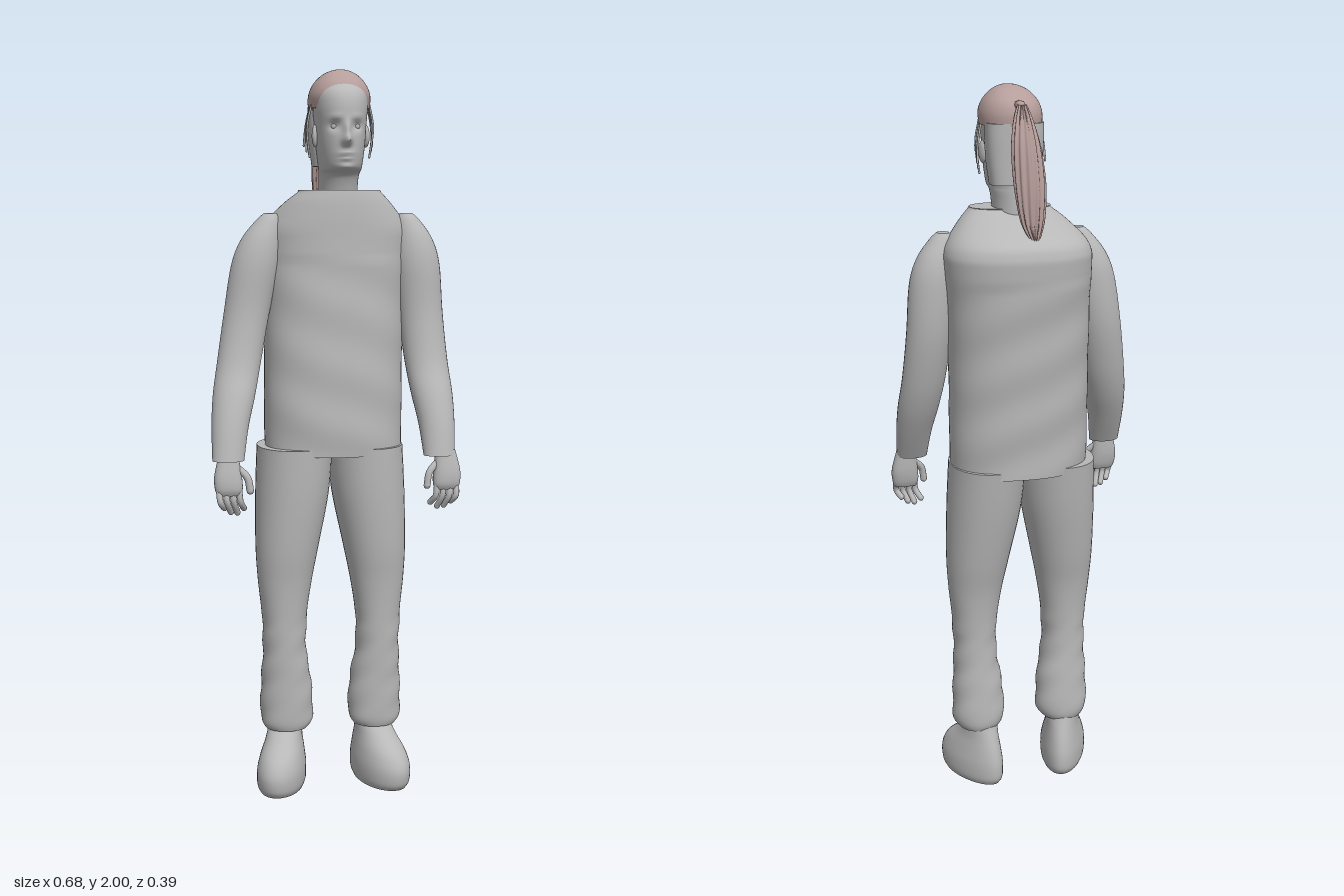
import * as THREE from 'three';

const skinGrey = new THREE.MeshStandardMaterial({ color: 0xb8b8b8 });
skinGrey.name = 'plain grey';
const hairBrown = new THREE.MeshStandardMaterial({ color: 0xb59d9a });
hairBrown.name = 'dusty rose hair';

// Catmull-Rom blend of four rings
const blend = (a, b, c, d, t) => b.map((_, k) => 0.5 * (2 * b[k] + (c[k] - a[k]) * t
  + (2 * a[k] - 5 * b[k] + 4 * c[k] - d[k]) * t * t
  + (3 * b[k] - a[k] - 3 * c[k] + d[k]) * t * t * t));

// Closed loft through rings [y, xMin, xMax, zMin, zMax], listed from low to high.
// power 2 gives ellipses, more gives squarer sections; warp(p, angle) moves each point.
function loft(rings, { segs = 40, steps = 5, power = 2, warp = null } = {}) {
  const rows = [];
  const at = (i) => rings[Math.min(Math.max(i, 0), rings.length - 1)];
  for (let i = 0; i < rings.length - 1; i++)
    for (let s = 0; s < steps; s++)
      rows.push(blend(at(i - 1), at(i), at(i + 1), at(i + 2), s / steps));
  rows.push(at(rings.length - 1));
  const pos = [], index = [], p = new THREE.Vector3();
  const round = (v) => Math.sign(v) * Math.abs(v) ** (2 / power);
  const addRing = ([y, x0, x1, z0, z1]) => {
    for (let j = 0; j < segs; j++) {
      const a = (j / segs) * Math.PI * 2;
      p.set((x0 + x1) / 2 + round(Math.cos(a)) * (x1 - x0) / 2, y,
        (z0 + z1) / 2 + round(Math.sin(a)) * (z1 - z0) / 2);
      if (warp) warp(p, a);
      pos.push(p.x, p.y, p.z);
    }
  };
  rows.forEach(addRing);
  for (let i = 0; i < rows.length - 1; i++)
    for (let j = 0; j < segs; j++) {
      const a = i * segs + j, b = i * segs + (j + 1) % segs;
      index.push(a, a + segs, b, b, a + segs, b + segs);
    }
  // flat end caps
  for (const [row, up] of [[rows[0], false], [rows[rows.length - 1], true]]) {
    const start = pos.length / 3;
    addRing(row);
    pos.push((row[1] + row[2]) / 2, row[0], (row[3] + row[4]) / 2);
    for (let j = 0; j < segs; j++) {
      const a = start + j, b = start + (j + 1) % segs, c = start + segs;
      if (up) index.push(a, c, b); else index.push(a, b, c);
    }
  }
  const geo = new THREE.BufferGeometry();
  geo.setAttribute('position', new THREE.Float32BufferAttribute(pos, 3));
  geo.setIndex(index);
  geo.computeVertexNormals();
  return geo;
}

// Swap a ring to the other side of the body, with an optional shift in x
const flip = ([y, x0, x1, z0, z1], side, shift = 0) =>
  side < 0 ? [y, x0, x1, z0, z1] : [y, -x1 + shift, -x0 + shift, z0, z1];

function add(parent, name, geo, mat = skinGrey) {
  const mesh = new THREE.Mesh(geo, mat);
  mesh.name = name;
  parent.add(mesh);
  return mesh;
}

// Tube with a ball at each end
function limb(parent, name, pts, r, mat = skinGrey) {
  const v = pts.map((q) => new THREE.Vector3(...q));
  add(parent, name, new THREE.TubeGeometry(new THREE.CatmullRomCurve3(v), 8, r, 8), mat);
  for (const end of [v[0], v[v.length - 1]])
    add(parent, name + 'End', new THREE.SphereGeometry(r, 8, 6), mat).position.copy(end);
}

function addHead(g) {
  const cx = 0.022;
  // face bumps: [distance from middle, y, depth, width, height]
  const bumps = [[0, 1.811, 0.032, 0.012, 0.013], [0, 1.838, 0.016, 0.009, 0.022],
    [0.03, 1.848, -0.013, 0.014, 0.011], [0.028, 1.872, 0.004, 0.02, 0.007],
    [0, 1.776, 0.008, 0.02, 0.006], [0, 1.763, 0.006, 0.016, 0.005],
    [0, 1.769, -0.004, 0.018, 0.003], [0, 1.74, 0.008, 0.02, 0.01]];
  add(g, 'head', loft([
    [1.65, -0.03, 0.074, -0.05, 0.085], [1.7, -0.03, 0.074, -0.05, 0.1],
    [1.725, -0.032, 0.076, -0.05, 0.115], [1.738, -0.034, 0.078, -0.05, 0.146],
    [1.76, -0.037, 0.081, -0.05, 0.156], [1.8, -0.042, 0.086, -0.05, 0.159],
    [1.85, -0.046, 0.09, -0.052, 0.158], [1.9, -0.05, 0.094, -0.055, 0.158],
    [1.94, -0.047, 0.091, -0.05, 0.143], [1.975, -0.025, 0.069, -0.02, 0.1],
    [1.99, 0.005, 0.039, 0.02, 0.08]], {
    segs: 96, steps: 7, power: 2.15,
    warp: (p) => {
      if (p.z < 0.06) return;
      const u = Math.abs(p.x - cx);
      for (const [bx, by, d, w, h] of bumps)
        p.z += d * Math.exp(-(((u - bx) / w) ** 2) - ((p.y - by) / h) ** 2);
    } }));
  for (const s of [-1, 1]) {
    const eye = add(g, 'eye', new THREE.SphereGeometry(0.011, 14, 10));
    eye.position.set(cx + s * 0.029, 1.847, 0.13);
    const ear = add(g, 'ear', new THREE.SphereGeometry(1, 14, 10));
    ear.scale.set(0.009, 0.03, 0.017);
    ear.position.set(cx + s * 0.069, 1.825, 0.058);
    ear.rotation.y = s * 0.3;
    // loose strands in front of the ears
    for (let k = 0; k < 3; k++)
      limb(g, 'looseStrand', [[cx + s * 0.078, 1.91, 0.06 - k * 0.012],
        [cx + s * 0.09, 1.85, 0.055 - k * 0.014],
        [cx + s * (0.082 + k * 0.006), 1.77 + k * 0.015, 0.045 - k * 0.012]], 0.003);
  }
  // raised layer around the back of the head
  add(g, 'backOfHead', loft([
    [1.745, -0.045, 0.089, -0.054, 0.04], [1.8, -0.052, 0.096, -0.055, 0.048],
    [1.86, -0.056, 0.1, -0.057, 0.05], [1.905, -0.056, 0.1, -0.058, 0.05]], { power: 2.8 }));
}

function addHair(g) {
  add(g, 'hairCap', loft([
    [1.898, -0.06, 0.104, -0.06, 0.122], [1.93, -0.061, 0.105, -0.06, 0.133],
    [1.96, -0.05, 0.094, -0.046, 0.122], [1.985, -0.027, 0.071, -0.01, 0.096],
    [1.997, -0.002, 0.046, 0.025, 0.075], [2, 0.015, 0.03, 0.045, 0.06]],
  { segs: 56, power: 2.2 }), hairBrown);
  limb(g, 'hairTie', [[0.022, 1.95, -0.04], [0.022, 1.952, -0.065], [0.022, 1.935, -0.085]], 0.013, hairBrown);
  // ponytail with strand ridges
  add(g, 'ponytail', loft([
    [1.615, 0, 0.018, -0.157, -0.14], [1.66, -0.018, 0.04, -0.158, -0.115],
    [1.75, -0.025, 0.055, -0.156, -0.098], [1.85, -0.016, 0.058, -0.14, -0.08],
    [1.92, 0, 0.046, -0.112, -0.068], [1.955, 0.012, 0.032, -0.088, -0.064]], {
    segs: 72,
    warp: (p, a) => {
      const k = 0.003 * Math.sin(a * 12 + p.y * 14);
      p.x += Math.cos(a) * k;
      p.z += Math.sin(a) * k;
    } }), hairBrown);
}

function addArm(g, side) {
  const arm = new THREE.Group();
  arm.name = side < 0 ? 'rightArm' : 'leftArm';
  g.add(arm);
  const rings = [
    [0.965, -0.342, -0.256, 0.122, 0.188], [1.05, -0.34, -0.24, 0.073, 0.168],
    [1.13, -0.333, -0.218, 0.032, 0.142], [1.22, -0.317, -0.197, 0, 0.107],
    [1.35, -0.295, -0.17, -0.029, 0.086], [1.48, -0.273, -0.142, -0.036, 0.084],
    [1.55, -0.245, -0.135, -0.028, 0.074], [1.6, -0.205, -0.138, -0.01, 0.056],
    [1.62, -0.182, -0.148, 0.002, 0.042]];
  add(arm, 'sleeve', loft(rings.map((r) => flip(r, side, -0.018 + (r[0] - 0.965) * 0.1)), { segs: 32 }));
  add(arm, 'palm', loft([
    [0.872, -0.33, -0.268, 0.153, 0.18], [0.89, -0.337, -0.262, 0.145, 0.187],
    [0.925, -0.338, -0.264, 0.138, 0.186], [0.98, -0.325, -0.272, 0.135, 0.175]]
    .map((r) => flip(r, side)), { segs: 24, power: 2.4 }));
  for (let k = 0; k < 4; k++) {
    const x = side * (0.326 - k * 0.018), drop = [0.012, 0, -0.003, 0.008][k];
    limb(arm, 'finger', [[x, 0.885, 0.17], [x - side * 0.003, 0.855, 0.18 - k * 0.003],
      [x - side * 0.014, 0.826 + drop, 0.165 - k * 0.004]], 0.0085);
  }
  limb(arm, 'thumb', [[side * 0.275, 0.945, 0.16], [side * 0.25, 0.92, 0.172], [side * 0.243, 0.885, 0.176]], 0.01);
}

function addLeg(g, side) {
  const leg = new THREE.Group();
  leg.name = side < 0 ? 'rightLeg' : 'leftLeg';
  g.add(leg);
  add(leg, 'trouserLeg', loft([
    [0.168, -0.185, -0.065, -0.048, 0.074], [0.2, -0.199, -0.05, -0.056, 0.081],
    [0.3, -0.197, -0.055, -0.052, 0.085], [0.4, -0.192, -0.07, -0.047, 0.09],
    [0.5, -0.195, -0.068, -0.05, 0.094], [0.6, -0.205, -0.053, -0.062, 0.102],
    [0.7, -0.21, -0.033, -0.085, 0.115], [0.85, -0.208, -0.003, -0.115, 0.126],
    [0.98, -0.202, 0.008, -0.135, 0.13]].map((r) => flip(r, side, 0.005)), {
    power: 2.15,
    warp: (p, a) => { // soft cloth folds near the hem
      if (p.y < 0.5) p.x += 0.002 * Math.sin(p.y * 70 + a * 2);
    } }));
  // shoe, toes turned out
  const shoe = loft([
    [0, -0.058, 0.058, -0.072, 0.152], [0.02, -0.065, 0.065, -0.084, 0.165],
    [0.06, -0.066, 0.066, -0.085, 0.167], [0.1, -0.06, 0.06, -0.077, 0.145],
    [0.14, -0.052, 0.052, -0.064, 0.095], [0.175, -0.05, 0.05, -0.052, 0.057],
    [0.21, -0.048, 0.048, -0.046, 0.05]], {
    segs: 36,
    warp: (p) => { p.x *= 0.95 + 1.1 * Math.max(-0.1, Math.min(p.z, 0.12)); } });
  shoe.rotateY(side * 0.36);
  add(leg, 'shoe', shoe).position.set(side * 0.125, 0, 0);
}

export function createModel() {
  const g = new THREE.Group();
  g.name = 'standingFigure';
  // pullover with a sloped shoulder yoke and flat collar
  add(g, 'pullover', loft([
    [0.96, -0.178, 0.203, -0.143, 0.135], [1.05, -0.18, 0.205, -0.149, 0.137],
    [1.2, -0.178, 0.206, -0.16, 0.134], [1.4, -0.176, 0.212, -0.176, 0.126],
    [1.53, -0.178, 0.222, -0.19, 0.121], [1.575, -0.176, 0.221, -0.19, 0.12],
    [1.61, -0.158, 0.203, -0.168, 0.119], [1.65, -0.122, 0.166, -0.09, 0.116],
    [1.675, -0.093, 0.138, -0.035, 0.112], [1.682, -0.09, 0.134, -0.03, 0.11]], {
    segs: 64, steps: 8, power: 2.3,
    warp: (p, a) => { // gentle fabric ripples
      if (p.y < 1.5) p.z += 0.0025 * Math.sin(p.y * 38 + Math.cos(a) * 3);
    } }));
  addHead(g);
  addHair(g);
  for (const side of [-1, 1]) {
    addArm(g, side);
    addLeg(g, side);
  }
  return g;
}
